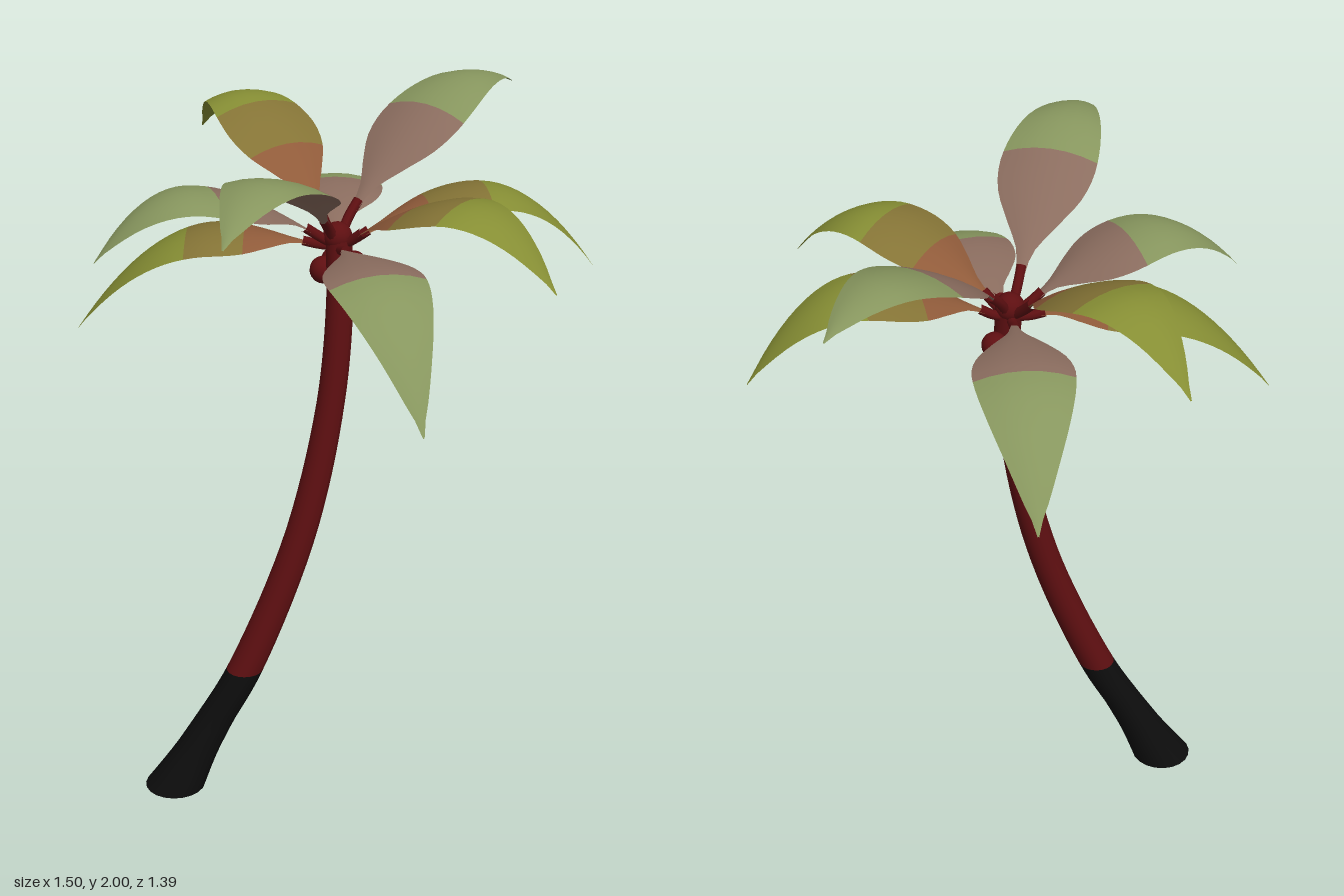
import * as THREE from 'three';

const mat = (name, color, double = false) => {
  const m = new THREE.MeshStandardMaterial({ color });
  m.name = name;
  if (double) m.side = THREE.DoubleSide;
  return m;
};

// piecewise linear lookup in [[key, value], ...]
function lookup(table, k) {
  for (let i = 1; i < table.length; i++) {
    const [a, va] = table[i - 1], [b, vb] = table[i];
    if (k <= b) return va + (vb - va) * (k - a) / (b - a);
  }
  return table[table.length - 1][1];
}

const TOP = 1.67;
const trunkPath = new THREE.CatmullRomCurve3([
  [-0.388, 0, -0.305], [-0.315, 0.2, -0.222], [-0.25, 0.38, -0.147], [-0.13, 0.8, -0.035],
  [-0.052, 1.2, 0.015], [-0.02, 1.5, 0.022], [-0.012, TOP, 0.012],
].map(p => new THREE.Vector3(...p)));
const trunkRadius = [[0, 0.087], [0.05, 0.077], [0.12, 0.065], [0.22, 0.057], [0.38, 0.053], [0.8, 0.045], [1.2, 0.039], [TOP, 0.036]];

// trunk section whose rings stay level and follow the path
function trunkSection(t0, t1, rows) {
  const g = new THREE.CylinderGeometry(1, 1, 1, 20, rows);
  const p = g.attributes.position;
  for (let i = 0; i < p.count; i++) {
    const c = trunkPath.getPoint(t0 + (t1 - t0) * (p.getY(i) + 0.5));
    const r = lookup(trunkRadius, c.y);
    p.setXYZ(i, c.x + p.getX(i) * r, c.y, c.z + p.getZ(i) * r);
  }
  g.computeVertexNormals();
  return g;
}

const halfWidth = new THREE.SplineCurve([
  [0, 0.012], [0.1, 0.022], [0.2, 0.07], [0.3, 0.115], [0.4, 0.133], [0.5, 0.13],
  [0.6, 0.116], [0.7, 0.095], [0.8, 0.068], [0.9, 0.037], [1, 0.002],
].map(p => new THREE.Vector2(...p)));

// arched frond: rises from the crown to a peak, then droops to the tip
function frondPoint(f, t, s) {
  const start = 0.05, R = f.reach, r = start + (R - start) * t, k = f.peakAt * R;
  const y = r < k
    ? f.peak - (f.peak - f.base) * Math.pow((k - r) / (k - start), 1.7)
    : f.peak - (f.peak - f.tip) * Math.pow((r - k) / (R - k), 2);
  const w = halfWidth.getPoint(t).y;
  const dx = Math.cos(f.angle), dz = Math.sin(f.angle);
  return [-0.01 + dx * r - dz * w * s, y - 0.2 * w * s * s, dz * r + dx * w * s];
}

function frondStrip(f, t0, t1, rows) {
  const cols = 6, pos = [], idx = [];
  for (let i = 0; i <= rows; i++) {
    for (let j = 0; j <= cols; j++) {
      pos.push(...frondPoint(f, t0 + (t1 - t0) * i / rows, j / cols * 2 - 1));
      if (i < rows && j < cols) {
        const a = i * (cols + 1) + j, b = a + cols + 1;
        idx.push(a, a + 1, b, b, a + 1, b + 1);
      }
    }
  }
  const g = new THREE.BufferGeometry();
  g.setAttribute('position', new THREE.Float32BufferAttribute(pos, 3));
  g.setIndex(idx);
  g.computeVertexNormals();
  return g;
}

export function createModel() {
  const bark = mat('darkRedBark', 0x5e0f11), foot = mat('blackBark', 0x0d0d0d);
  const taupe = mat('taupeLeaf', 0x8b6d5f, true), sage = mat('sageLeaf', 0x87965e, true);
  const rust = mat('rustLeaf', 0x905b3a, true), ochre = mat('ochreLeaf', 0x857436, true);
  const olive = mat('oliveLeaf', 0x868e34, true);

  const model = new THREE.Group();
  model.name = 'palmTree';
  const add = (name, g, m, parent = model) => {
    const mesh = new THREE.Mesh(g, m);
    mesh.name = name;
    parent.add(mesh);
    return mesh;
  };

  // trunk, split at the height where the bark changes
  let split = 0;
  while (trunkPath.getPoint(split).y < 0.38) split += 0.001;
  add('trunkFoot', trunkSection(0, split, 12), foot);
  add('trunk', trunkSection(split, 1, 30), bark);

  // crown bud and nuts
  add('crownBud', new THREE.SphereGeometry(0.04, 16, 12), bark).position.set(-0.012, 1.675, 0.008);
  for (const [x, y, z, r] of [[0.05, 1.57, -0.045, 0.042], [0.045, 1.58, 0.02, 0.036], [0, 1.56, -0.05, 0.038]])
    add('nut', new THREE.SphereGeometry(r, 16, 12), bark).position.set(x, y, z);

  // fronds: tip x, tip z, base y, peak y, tip y, peak position, is sage
  const fronds = [
    [0.27, -0.70, 1.69, 1.94, 1.77, 0.65, false],
    [0.59, -0.46, 1.65, 1.71, 1.46, 0.45, true],
    [0.745, 0.06, 1.71, 2.0, 1.93, 0.72, true],
    [0.51, 0.50, 1.66, 1.79, 1.54, 0.56, false],
    [0.02, 0.69, 1.67, 1.85, 1.66, 0.6, false],
    [-0.435, 0.60, 1.65, 1.70, 1.40, 0.45, true],
    [-0.75, 0.22, 1.71, 2.0, 1.91, 0.69, true],
    [-0.55, -0.39, 1.68, 1.84, 1.67, 0.6, true],
    [-0.43, -0.57, 1.65, 1.69, 1.40, 0.45, false],
  ];
  for (const [x, z, base, peak, tip, peakAt, isSage] of fronds) {
    const f = { reach: Math.hypot(x + 0.01, z), angle: Math.atan2(z, x + 0.01), base, peak, tip, peakAt };
    const frond = new THREE.Group();
    frond.name = 'frond';
    model.add(frond);
    const zones = isSage ? [[0, 0.46, taupe], [0.46, 1, sage]]
      : [[0, 0.3, rust], [0.3, 0.54, ochre], [0.54, 1, olive]];
    for (const [a, b, m] of zones) add('blade', frondStrip(f, a, b, Math.ceil((b - a) * 24)), m, frond);
    // red stalk joining the blade to the crown
    const stalk = new THREE.CatmullRomCurve3([
      new THREE.Vector3(-0.012, 1.645, 0.008),
      new THREE.Vector3(...frondPoint(f, 0, 0)),
      new THREE.Vector3(...frondPoint(f, 0.06, 0)),
    ]);
    add('stalk', new THREE.TubeGeometry(stalk, 8, 0.014, 8), bark, frond);
  }
  return model;
}
